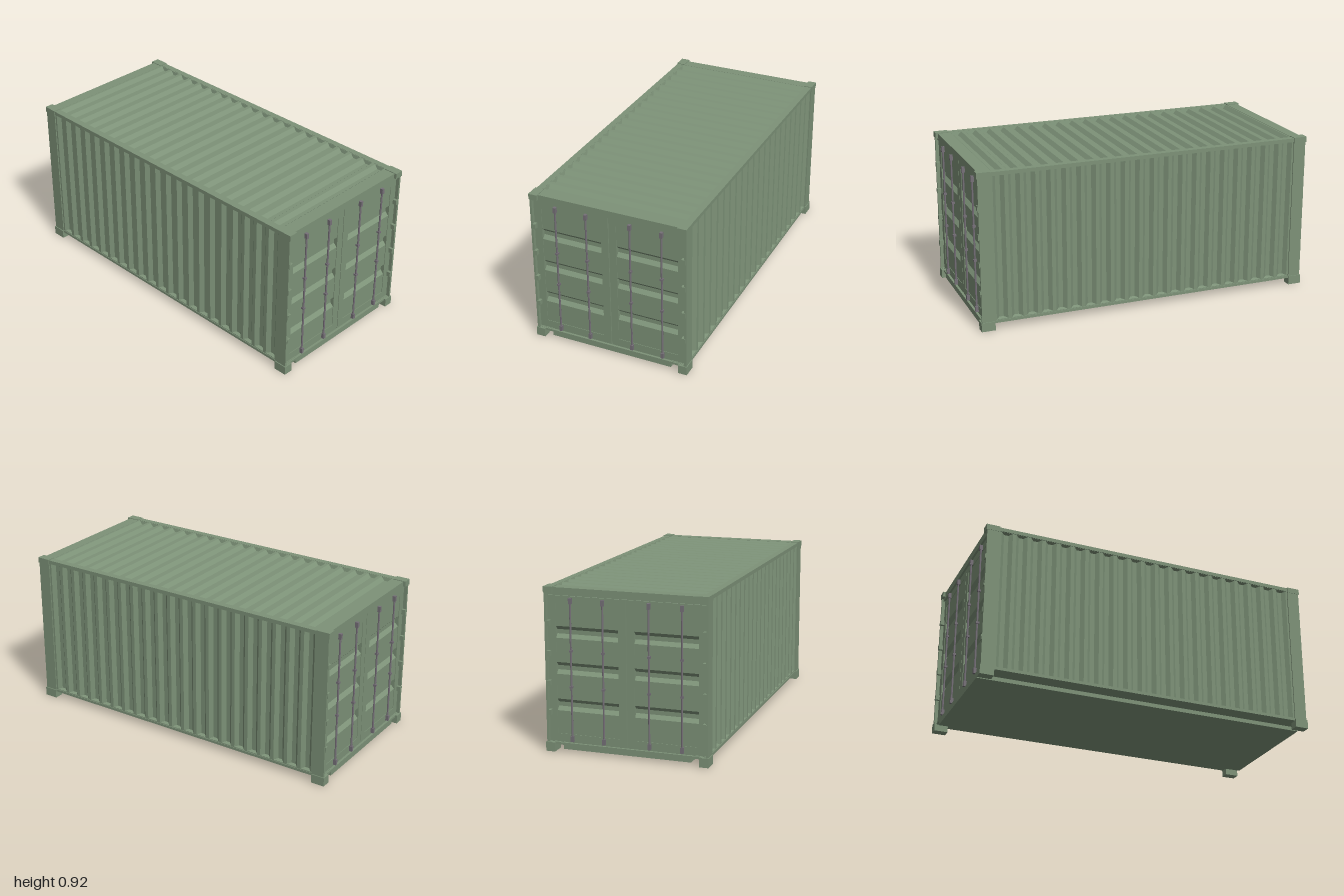
import * as THREE from 'three';

const green = new THREE.MeshStandardMaterial({ color: 0x7d9278, flatShading: true });
const sheetGreen = new THREE.MeshStandardMaterial({ color: 0x7d9278, flatShading: true, side: THREE.DoubleSide });
const steel = new THREE.MeshStandardMaterial({ color: 0x767078, flatShading: true });
const sealGrey = new THREE.MeshStandardMaterial({ color: 0xcccccc });

function add(parent, name, geometry, material = green) {
  const mesh = new THREE.Mesh(geometry, material);
  mesh.name = name;
  parent.add(mesh);
  return mesh;
}

// Box given by its minimum and maximum on each axis
function box(parent, name, [x0, x1], [y0, y1], [z0, z1], material) {
  const geometry = new THREE.BoxGeometry(Math.abs(x1 - x0), y1 - y0, z1 - z0);
  geometry.translate((x0 + x1) / 2, (y0 + y1) / 2, (z0 + z1) / 2);
  return add(parent, name, geometry, material);
}

// Corners of a rectangle, counter-clockwise
const rect = (x, y, w, h) => [[-1, -1], [1, -1], [1, 1], [-1, 1]]
  .map(([a, b]) => new THREE.Vector2(x + a * w / 2, y + b * h / 2));

// Flat sheet facing +z with grooves pressed into it; each groove has sloping walls
function groovedSheet(outline, grooves, depth, slopeX, slopeY) {
  const shape = new THREE.Shape(outline);
  const points = [];
  const quad = (a, b, c, d) => points.push(...a, ...b, ...c, ...a, ...c, ...d);
  for (const [x, y, w, h] of grooves) {
    const outer = rect(x, y, w, h);
    shape.holes.push(new THREE.Path(outer));
    const top = outer.map(p => [p.x, p.y, 0]);
    const floor = rect(x, y, w - 2 * slopeX, h - 2 * slopeY).map(p => [p.x, p.y, -depth]);
    for (let k = 0; k < 4; k++) {
      const n = (k + 1) % 4;
      quad(top[k], top[n], floor[n], floor[k]);
    }
    quad(...floor);
  }
  const flat = new THREE.ShapeGeometry(shape).toNonIndexed().getAttribute('position').array;
  const geometry = new THREE.BufferGeometry();
  geometry.setAttribute('position', new THREE.Float32BufferAttribute([...flat, ...points], 3));
  geometry.computeVertexNormals();
  return geometry;
}

const GROOVES = Array.from({ length: 21 }, (_, i) => (i - 10) * 0.0876);

// Upright locking rod with end brackets and two guides
function lockingRod(x) {
  const rod = new THREE.Group();
  rod.name = 'lockingRod';
  const bar = new THREE.CylinderGeometry(0.0055, 0.0055, 0.79, 8);
  bar.translate(x, 0.46, 0.984);
  add(rod, 'rodBar', bar, steel);
  for (const y of [0.062, 0.828]) {
    box(rod, 'rodBracket', [x - 0.008, x + 0.008], [y, y + 0.032], [0.974, 0.993], steel);
  }
  for (const y of [0.37, 0.57]) {
    box(rod, 'rodGuide', [x - 0.008, x + 0.008], [y - 0.006, y + 0.006], [0.974, 0.992], steel);
  }
  return rod;
}

// One door leaf: a frame plate around a grooved panel, with hinges and rods
function doorLeaf(s) {
  const leaf = new THREE.Group();
  leaf.name = s > 0 ? 'leftDoor' : 'rightDoor';
  const frame = new THREE.Shape(rect(s * 0.227, 0.4605, 0.45, 0.815));
  frame.holes.push(new THREE.Path(rect(s * 0.225, 0.4625, 0.36, 0.725)));
  const plate = new THREE.ExtrudeGeometry(frame, { depth: 0.012, bevelEnabled: false });
  plate.translate(0, 0, 0.963);
  add(leaf, 'doorFrame', plate);

  const grooves = [0.2625, 0.4675, 0.6675].map(y => [s * 0.225, y, 0.36, 0.066]);
  const panel = groovedSheet(rect(s * 0.225, 0.4625, 0.39, 0.75), grooves, 0.02, 0, 0.021);
  panel.translate(0, 0, 0.972);
  add(leaf, 'doorPanel', panel, sheetGreen);

  for (const y of [0.22, 0.385, 0.55, 0.717]) {
    box(leaf, 'hinge', [s * 0.434, s * 0.456], [y - 0.015, y + 0.015], [0.965, 0.999]);
  }
  for (const x of [0.13, 0.315]) leaf.add(lockingRod(s * x));
  return leaf;
}

// Complete end: doors, header, sill, posts and corner blocks
function doorEnd(name) {
  const end = new THREE.Group();
  end.name = name;
  for (const s of [1, -1]) {
    end.add(doorLeaf(s));
    box(end, 'cornerPost', [s * 0.45, s * 0.462], [0.05, 0.89], [0.92, 0.995]);
    box(end, 'bottomCornerBlock', [s * 0.414, s * 0.467], [0, 0.052], [0.92, 1]);
    box(end, 'topCornerBlock', [s * 0.413, s * 0.464], [0.885, 0.918], [0.92, 1]);
  }
  box(end, 'header', [-0.455, 0.455], [0.872, 0.914], [0.92, 0.985]);
  box(end, 'sill', [-0.455, 0.455], [0.04, 0.053], [0.92, 0.988]);
  box(end, 'headerSeal', [-0.44, 0.44], [0.864, 0.876], [0.955, 0.967], sealGrey);
  box(end, 'centreSeal', [-0.01, 0.01], [0.053, 0.868], [0.955, 0.964]);
  return end;
}

// Corrugated long wall with its top and bottom rails, on the +x side
function sideWall(name) {
  const side = new THREE.Group();
  side.name = name;
  const wall = groovedSheet(rect(0, 0.4775, 1.96, 0.865),
    GROOVES.map(z => [z, 0.475, 0.066, 0.832]), 0.02, 0.02, 0.006);
  wall.rotateY(Math.PI / 2).translate(0.456, 0, 0);
  add(side, 'corrugatedWall', wall, sheetGreen);
  box(side, 'topRail', [0.424, 0.46], [0.892, 0.914], [-0.98, 0.98]);
  box(side, 'bottomRail', [0.36, 0.46], [0.04, 0.055], [-0.98, 0.98]);
  return side;
}

export function createModel() {
  const model = new THREE.Group();
  model.name = 'shippingContainer';

  // Roof
  const roof = groovedSheet(rect(0, 0, 0.9, 1.96),
    GROOVES.map(z => [0, z, 0.84, 0.066]), 0.02, 0.006, 0.021);
  roof.rotateX(-Math.PI / 2).translate(0, 0.913, 0);
  add(model, 'corrugatedRoof', roof, sheetGreen);

  // Floor
  box(model, 'floor', [-0.367, 0.367], [0.017, 0.053], [-0.988, 0.988]);

  // Walls and ends, each repeated by a half turn
  const opposite = group => {
    group.rotation.y = Math.PI;
    return group;
  };
  model.add(sideWall('leftSide'), opposite(sideWall('rightSide')));
  model.add(doorEnd('frontEnd'), opposite(doorEnd('backEnd')));
  return model;
}
